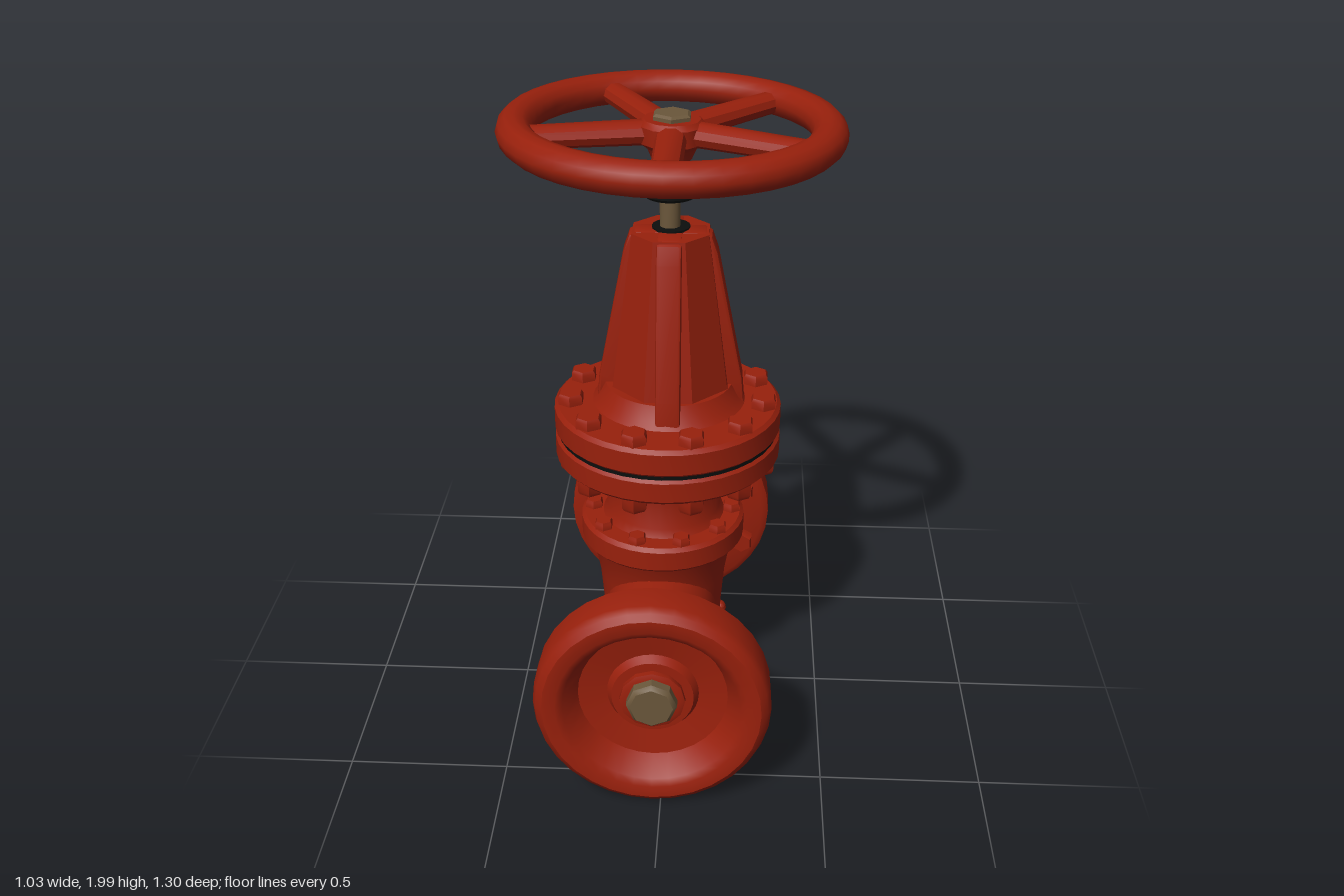
import * as THREE from 'three';
import { toCreasedNormals } from 'three/addons/utils/BufferGeometryUtils.js';

const paint = (name, color) => {
  const m = new THREE.MeshStandardMaterial({ color });
  m.name = name;
  return m;
};

export function createModel() {
  const red = paint('redPaint', 0x98200c);
  const brass = paint('dullBrass', 0x6b573b);
  const black = paint('blackSteel', 0x0c0e0d);
  const model = new THREE.Group();
  model.name = 'gateValve';

  const add = (name, geo, mat, x = 0, y = 0, z = 0, parent = model) => {
    const mesh = new THREE.Mesh(toCreasedNormals(geo, 0.6), mat);
    mesh.name = name;
    mesh.position.set(x, y, z);
    parent.add(mesh);
    return mesh;
  };
  const lathe = (pts, seg = 36) =>
    new THREE.LatheGeometry(pts.map(p => new THREE.Vector2(p[0], p[1])), seg);
  const disc = (r, y0, y1, bevel = 0.012) => lathe([
    [0, y0], [r - bevel, y0], [r, y0 + bevel], [r, y1 - bevel], [r - bevel, y1], [0, y1]]);
  // Bolt head with a small chamfer, standing on y = 0
  const bolt = (r, h, sides = 6) =>
    lathe([[0, 0], [r, 0], [r, h * 0.75], [r * 0.85, h], [0, h]], sides);

  // Horizontal pipe with a dished flange at both ends
  const half = [[0.178, 0], [0.178, 0.22], [0.17, 0.28], [0.166, 0.38], [0.172, 0.43], [0.19, 0.46],
    [0.205, 0.5], [0.335, 0.5], [0.358, 0.515], [0.36, 0.61], [0.35, 0.635], [0.33, 0.65], [0.29, 0.65],
    [0.268, 0.638], [0.228, 0.565], [0.14, 0.55], [0.125, 0.575], [0, 0.578]];
  const px = -0.026, py = 0.372;
  const pipePts = [...half.slice(1).reverse().map(([r, z]) => [r, -z]), ...half];
  add('pipeAndFlanges', lathe(pipePts, 32).rotateX(Math.PI / 2), red, px, py, 0);

  for (const s of [1, -1]) {
    const end = new THREE.Group();
    end.name = s > 0 ? 'frontFlangeFittings' : 'backFlangeFittings';
    end.position.set(px, py, 0);
    if (s < 0) end.rotation.y = Math.PI;
    model.add(end);
    add('hubCollar', bolt(0.1, 0.022, 12).rotateX(Math.PI / 2), red, 0, 0, 0.577, end);
    add('endNut', bolt(0.077, 0.05, 8).rotateX(Math.PI / 2), brass, 0, 0.008, 0.59, end);
    for (let i = 0; i < 8; i++) {
      const a = (i + 0.5) * Math.PI / 4;
      add('flangeBolt', bolt(0.042, 0.042).rotateX(-Math.PI / 2), red,
        0.285 * Math.cos(a), 0.285 * Math.sin(a), 0.502, end);
    }
  }

  // Small lugs on the back pipe and knobs low on the body sides
  for (const a of [0.25, 0.75, 1.25, 1.75].map(v => v * Math.PI)) {
    add('pipeLug', bolt(0.03, 0.06).rotateX(Math.PI / 2), red,
      px + 0.21 * Math.cos(a), py + 0.21 * Math.sin(a), -0.39);
  }
  for (const s of [1, -1]) {
    for (const z of [-0.04, -0.17]) {
      add('bodyKnob', new THREE.SphereGeometry(0.026, 12, 8), red, px + s * (z < -0.1 ? 0.155 : 0.188), 0.275, z);
    }
  }

  // Vertical body, its small collar flange and the neck
  const cz = -0.018;
  add('body', lathe([[0, 0.15], [0.155, 0.15], [0.175, 0.162], [0.188, 0.21], [0.196, 0.35],
    [0.206, 0.47], [0.218, 0.54], [0.24, 0.6], [0, 0.6]]), red, px, 0, -0.003);
  add('collarFlange', disc(0.265, 0.598, 0.685), red, px, 0, cz);
  add('neck', lathe([[0.2, 0.68], [0.182, 0.71], [0.18, 0.86], [0.2, 0.91]]), red, px + 0.003, 0, cz);
  for (let i = 0; i < 10; i++) {
    const a = i * Math.PI / 5;
    add('collarBolt', bolt(0.03, 0.028), red, px + 0.225 * Math.cos(a), 0.683, cz + 0.225 * Math.sin(a));
  }

  // Bonnet flange pair with a thin gasket between
  const fx = -0.01, fz = -0.024;
  add('lowerBonnetFlange', disc(0.357, 0.9, 0.987), red, fx, 0, fz);
  add('gasket', new THREE.CylinderGeometry(0.348, 0.348, 0.012, 36), black, fx, 0.99, fz);
  add('upperBonnetFlange', disc(0.357, 0.993, 1.085), red, fx, 0, fz);
  for (let i = 0; i < 11; i++) {
    const a = -Math.PI / 2 + i * Math.PI * 2 / 11;
    const x = fx + 0.305 * Math.cos(a), z = fz + 0.305 * Math.sin(a);
    add('bonnetBolt', bolt(0.043, 0.036), red, x, 1.083, z);
    add('bonnetNut', bolt(0.043, 0.05).rotateX(Math.PI), red, x, 0.902, z);
  }

  // Tapered yoke: eight-sided core with four ribs
  const yz = -0.035;
  add('yokeBase', lathe([[0, 1.08], [0.245, 1.08], [0.222, 1.105], [0.2, 1.15], [0, 1.15]]), red, -0.006, 0, yz);
  add('yokeCore', new THREE.CylinderGeometry(0.125, 0.2, 0.55, 8).rotateY(Math.PI / 8), red, 0, 1.37, yz);
  const rib = new THREE.Shape([[0.04, 1.09], [0.222, 1.09], [0.215, 1.17], [0.135, 1.58], [0.118, 1.63],
    [0.1, 1.64], [0.04, 1.64]].map(p => new THREE.Vector2(...p)));
  for (let i = 0; i < 4; i++) {
    const geo = new THREE.ExtrudeGeometry(rib, {
      depth: 0.056, bevelEnabled: true, bevelSize: 0.008, bevelThickness: 0.01, bevelSegments: 2 });
    add('yokeRib', geo.translate(0, 0, -0.028).rotateY(i * Math.PI / 2), red, 0, 0, yz);
  }

  // Stem, stem nut and locking collar
  const sz = -0.045;
  add('packingRing', new THREE.CylinderGeometry(0.058, 0.058, 0.02, 16), black, 0, 1.643, sz);
  add('stem', new THREE.CylinderGeometry(0.031, 0.031, 0.13, 16), brass, -0.003, 1.695, sz);
  add('lockCollar', disc(0.086, 1.748, 1.796, 0.01), black, -0.002, 0, sz);
  add('upperStem', new THREE.CylinderGeometry(0.04, 0.04, 0.1, 16), black, 0, 1.83, sz);

  // Handwheel: rim, hub and five spokes
  const wheel = new THREE.Group();
  wheel.name = 'handwheel';
  wheel.position.set(0.002, 1.942, -0.07);
  wheel.rotation.z = -0.014;
  model.add(wheel);
  add('rim', new THREE.TorusGeometry(0.46, 0.054, 12, 40).rotateX(Math.PI / 2).scale(1, 0.93, 1),
    red, 0, 0, 0, wheel);
  add('hub', lathe([[0, -0.085], [0.06, -0.085], [0.075, -0.05], [0.1, -0.03], [0.1, 0.02],
    [0.085, 0.035], [0, 0.035]], 12), red, 0, 0, 0.015, wheel);
  add('hubNut', bolt(0.062, 0.028), brass, 0, 0.025, 0.015, wheel);
  for (const deg of [90, 23, -48, -118, 166]) {
    const spoke = new THREE.CylinderGeometry(0.042, 0.047, 0.42, 10)
      .rotateZ(-Math.PI / 2).translate(0.25, 0, 0).scale(1, 0.8, 1);
    add('spoke', spoke, red, 0, -0.005, 0.008, wheel).rotation.y = -deg * Math.PI / 180;
  }
  return model;
}
